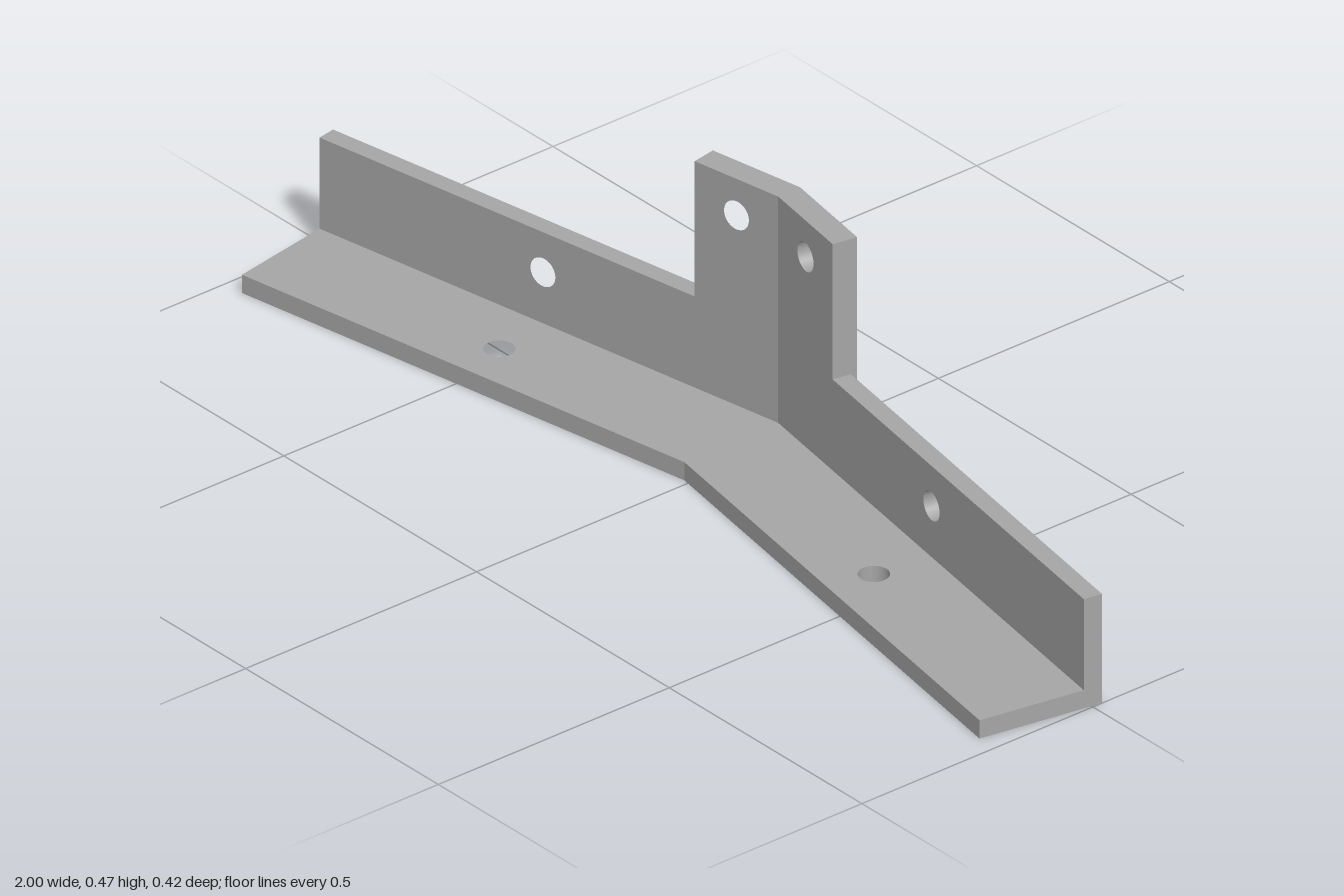
import * as THREE from 'three';

const ANGLE = THREE.MathUtils.degToRad(10);
const HOLE_R = 0.027;
const THICK = 0.035;

// Flat rectangle from the mitre (u = 0) outwards, with round holes; side is +1 or -1
function panelShape(side, length, v0, v1, holes) {
  const shape = new THREE.Shape();
  shape.moveTo(0, v0);
  shape.lineTo(side * length, v0);
  shape.lineTo(side * length, v1);
  shape.lineTo(0, v1);
  shape.closePath();
  for (const [u, v] of holes) {
    const hole = new THREE.Path();
    hole.absarc(side * u, v, HOLE_R, 0, Math.PI * 2, true);
    shape.holes.push(hole);
  }
  return shape;
}

function extrude(shape, depth) {
  return new THREE.ExtrudeGeometry(shape, { depth, bevelEnabled: false, curveSegments: 32 });
}

// Slide the inner end onto the mitre plane so both arms meet cleanly
function mitre(geometry, side) {
  const p = geometry.attributes.position;
  for (let i = 0; i < p.count; i++) {
    if (Math.abs(p.getX(i)) < 1e-6) p.setX(i, side * p.getZ(i) * Math.tan(ANGLE));
  }
  geometry.computeVertexNormals();
  return geometry;
}

export function createModel() {
  const steel = new THREE.MeshStandardMaterial({ color: 0xa6a6a6 });
  steel.name = 'grey steel';
  const model = new THREE.Group();
  model.name = 'angledBracket';

  for (const side of [1, -1]) {
    const length = side > 0 ? 1.027 : 1.004;
    const arm = new THREE.Group();
    arm.name = side > 0 ? 'leftArm' : 'rightArm';
    arm.position.set(-0.011, 0, -0.198);
    arm.rotation.y = -side * ANGLE;
    const add = (name, geometry) => {
      const mesh = new THREE.Mesh(mitre(geometry, side), steel);
      mesh.name = name;
      arm.add(mesh);
    };

    // Horizontal flange with one hole
    const flange = extrude(panelShape(side, length, 0, 0.235, [[0.519, 0.146]]), THICK);
    flange.rotateX(Math.PI / 2).translate(0, THICK, 0);
    add('baseFlange', flange);

    // Upright flange along the back
    add('uprightFlange', extrude(panelShape(side, length, THICK, 0.21, [[0.518, 0.133]]), THICK));

    // Taller mounting plate, standing slightly proud of the back;
    // its lower hole is closed by the upright flange
    const plate = extrude(panelShape(side, 0.188, 0.04, 0.47, [[0.097, 0.4], [0.097, 0.132]]), 0.047);
    plate.translate(0, 0, -0.012);
    add('mountingPlate', plate);

    model.add(arm);
  }
  return model;
}
